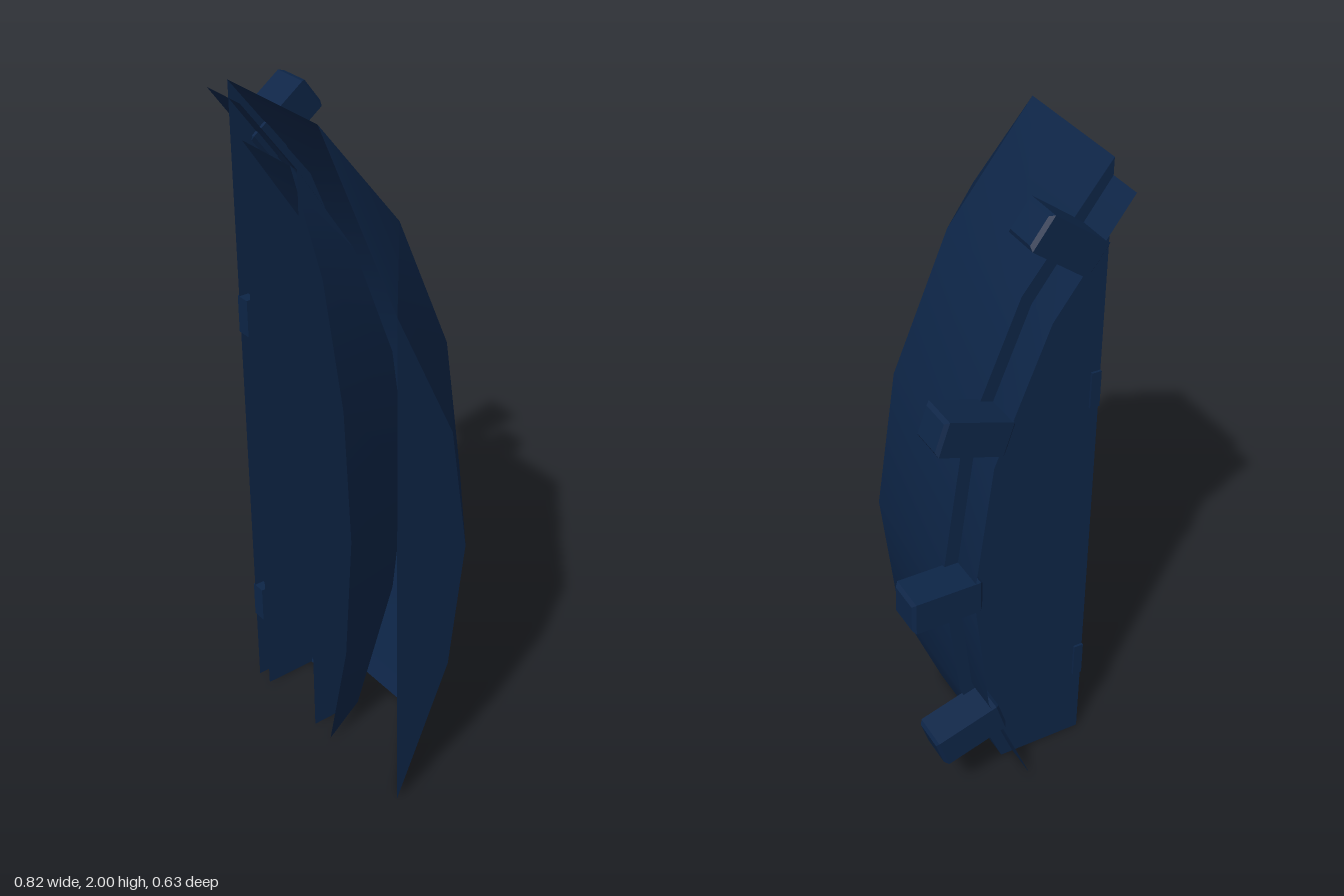
import * as THREE from 'three';

const navy = new THREE.MeshStandardMaterial({ color: 0x0d2547, side: THREE.DoubleSide });
navy.name = 'navy';

// Bent profiles, each a list of [y, z] from bottom to top
const outer = [[0, 0.04], [0.36, -0.11], [0.81, -0.168], [1.25, -0.11], [1.67, 0.06], [2, 0.315]];
const side = [[0, 0.315], [0.42, 0.13], [0.81, 0.075], [1.2, 0.13], [1.6, 0.315], [1.6, 0.315]];
const groove = [[0, 0.08], [0.37, -0.07], [0.81, -0.125], [1.24, -0.07], [1.64, 0.09], [1.95, 0.315]];
const liner = [[0, 0.15], [0.39, 0.01], [0.81, -0.045], [1.22, 0.01], [1.58, 0.14], [1.85, 0.315]];
const FRONT = 0.315;

// Place a profile at a fixed x
const rail = (profile, x) => profile.map(([y, z]) => [x, y, z]);

// Sheet between two rails, smooth along its length
function sheet(a, b) {
  const index = [];
  for (let i = 0; i < a.length - 1; i++) {
    const j = a.length + i;
    index.push(i, i + 1, j + 1, i, j + 1, j);
  }
  const geo = new THREE.BufferGeometry();
  geo.setAttribute('position', new THREE.Float32BufferAttribute([...a, ...b].flat(), 3));
  geo.setIndex(index);
  geo.computeVertexNormals();
  return geo;
}

// Flat upright wall from a bent profile forward to the front plane
const wall = (profile, x) => sheet(rail(profile, x), profile.map(([y]) => [x, y, FRONT]));

export function createModel() {
  const group = new THREE.Group();
  const add = (name, geo) => {
    const mesh = new THREE.Mesh(geo, navy);
    mesh.name = name;
    group.add(mesh);
    return mesh;
  };

  // Outer shell
  add('backPanel', sheet(rail(outer, -0.305), rail(outer, 0.095)));
  add('slopedPanel', sheet(rail(outer, 0.095), rail(side, 0.41)));
  add('sideWall', wall(side.slice(0, 5), 0.41));
  add('innerEdgeWall', wall(outer, -0.305));

  // Recessed strip that carries the pegs, and its slope down to the channel
  add('grooveStrip', sheet(rail(groove, -0.41), rail(groove, -0.25)));
  add('grooveSlope', sheet(rail(groove, -0.25), rail(liner, 0)));

  // Inner channel
  add('linerPanel', sheet(rail(liner, -0.25), rail(liner, 0)));
  add('linerRightWall', wall(liner, -0.25));
  add('linerLeftWall', wall(liner, 0));

  // Flange flaring from the channel to a bowed edge on the front plane
  const flareX = [0.08, 0.17, 0.205, 0.18, 0.1, -0.03];
  add('linerFlange', sheet(rail(liner, 0), liner.map(([y], i) => [flareX[i], y, FRONT])));

  // Pegs along the spine: outer end point and tilt
  const bevel = 0.01, length = 0.22, halfW = 0.0475, halfH = 0.0425;
  const shape = new THREE.Shape();
  shape.moveTo(-halfW, -halfH).lineTo(halfW, -halfH).lineTo(halfW, halfH).lineTo(-halfW, halfH);
  const pegGeo = new THREE.ExtrudeGeometry(shape, {
    depth: length - 2 * bevel, bevelThickness: bevel, bevelSize: bevel, bevelSegments: 1,
  });
  pegGeo.translate(0, 0, bevel);
  for (const [y, z, tilt] of [[0.23, -0.227, -18], [0.805, -0.313, 0], [1.385, -0.227, 18], [1.91, 0.046, 36]]) {
    const peg = add('peg', pegGeo);
    peg.position.set(-0.3525, y, z);
    peg.rotation.x = THREE.MathUtils.degToRad(tilt);
  }

  // Small catches on the front edge
  for (const y of [0.3, 1.31]) {
    add('catch', new THREE.BoxGeometry(0.045, 0.115, 0.03)).position.set(-0.29, y, 0.3);
  }
  return group;
}
